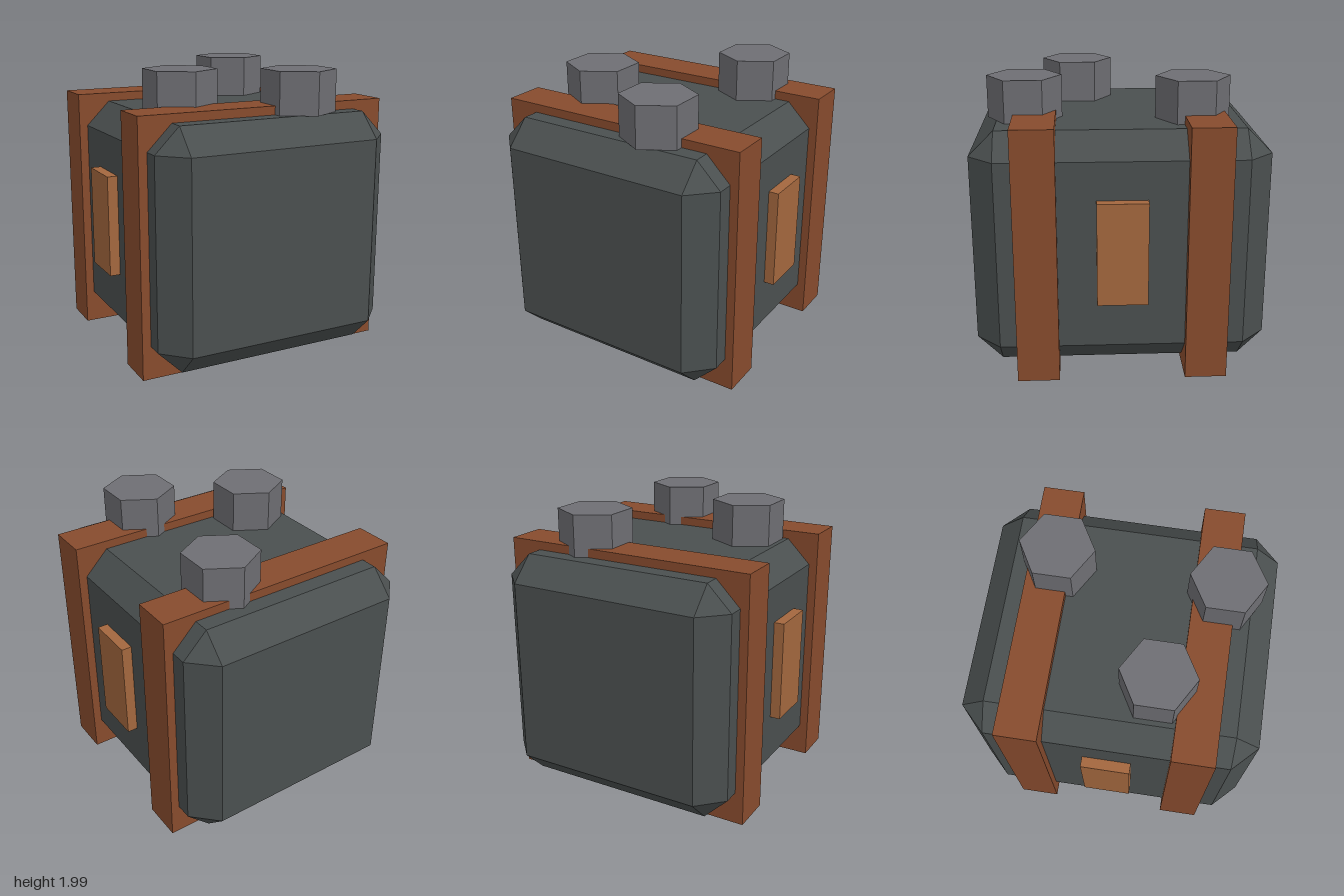
import * as THREE from 'three';
import { ConvexGeometry } from 'three/addons/geometries/ConvexGeometry.js';

const mat = (name, color) => {
  const m = new THREE.MeshStandardMaterial({ color });
  m.name = name;
  return m;
};

// Box with every edge cut at 45 degrees and a small triangle at each corner
function chamferedBox(w, h, d, c) {
  const x = w / 2, y = h / 2, z = d / 2, pts = [];
  for (const sx of [-1, 1]) for (const sy of [-1, 1]) for (const sz of [-1, 1]) {
    pts.push(
      new THREE.Vector3(sx * x, sy * (y - c), sz * (z - c)),
      new THREE.Vector3(sx * (x - c), sy * y, sz * (z - c)),
      new THREE.Vector3(sx * (x - c), sy * (y - c), sz * z)
    );
  }
  return new ConvexGeometry(pts);
}

export function createModel() {
  const model = new THREE.Group();
  model.name = 'strappedBlock';
  const iron = mat('dark iron', 0x4a4f4f);
  const leather = mat('brown strap', 0x874b2d);
  const tan = mat('tan plate', 0xa3673e);
  const steel = mat('grey bolt', 0x6e6e73);

  const add = (name, geometry, material, x, y, z) => {
    const mesh = new THREE.Mesh(geometry, material);
    mesh.name = name;
    mesh.position.set(x, y, z);
    model.add(mesh);
  };

  // Main block
  add('body', chamferedBox(1.71, 1.64, 2, 0.17), iron, 0, 0.88, 0);

  // Bands around the block, front and back
  const band = new THREE.BoxGeometry(1.83, 1.76, 0.285);
  add('frontStrap', band, leather, 0, 0.88, 0.572);
  add('backStrap', band, leather, 0, 0.88, -0.572);

  // Raised plates on both sides
  const plate = new THREE.BoxGeometry(0.1, 0.71, 0.34);
  add('leftPlate', plate, tan, 0.877, 0.915, 0);
  add('rightPlate', plate, tan, -0.877, 0.915, 0);

  // Hexagonal bolts on top
  const bolt = new THREE.CylinderGeometry(0.255, 0.255, 0.29, 6).toNonIndexed();
  bolt.computeVertexNormals();
  [[-0.43, 0.28], [0.283, 0.642], [0.355, -0.505]].forEach(([x, z], i) =>
    add(`bolt${i + 1}`, bolt, steel, x, 1.845, z));

  return model;
}
